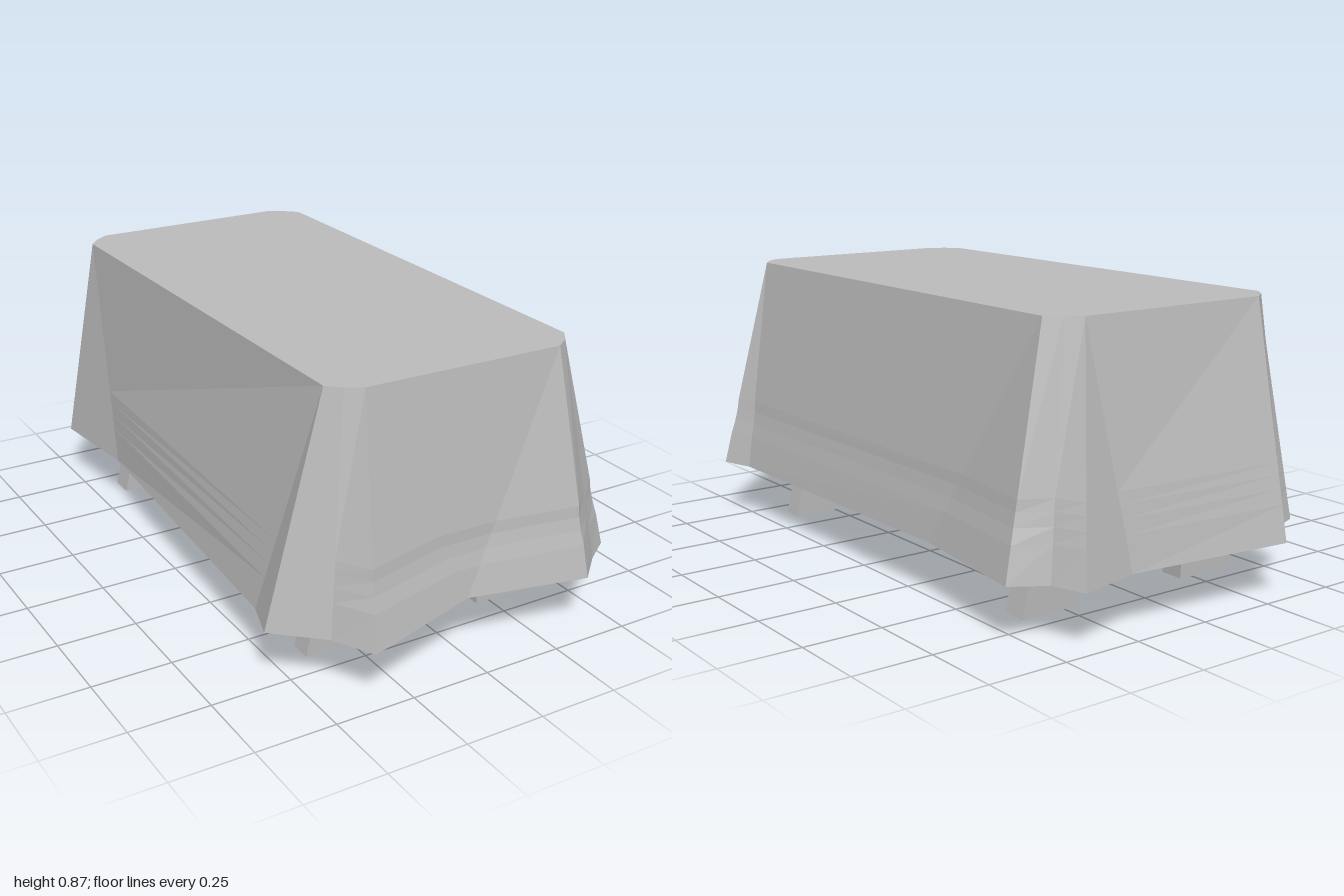
import * as THREE from 'three';

const grey = new THREE.MeshStandardMaterial({ color: 0xbcbcbc });
grey.name = 'cloth grey';

const TOP_Y = 0.873;

// Folds around the cloth: top x, top z, hem x, hem z, hem y
const folds = [
  [-0.33, -0.845, -0.32, -1.0, 0.171],
  [0.32, -0.845, 0.23, -0.95, 0.173],
  [0.32, -0.845, 0.43, -0.995, 0.171],
  [0.37, -0.815, 0.465, -0.89, 0.171],
  [0.41, -0.775, 0.575, -0.835, 0.175],
  [0.41, -0.775, 0.523, -0.4, 0.178],
  [0.41, 0.75, 0.53, 0.7, 0.178],
  [0.41, 0.75, 0.565, 0.81, 0.178],
  [0.375, 0.797, 0.48, 0.87, 0.175],
  [0.33, 0.83, 0.385, 0.96, 0.178],
  [0.33, 0.83, 0, 0.895, 0.19],
  [-0.31, 0.82, 0, 0.895, 0.19],
  [-0.31, 0.82, -0.375, 0.995, 0.174],
  [-0.36, 0.792, -0.44, 0.87, 0.174],
  [-0.4, 0.755, -0.58, 0.745, 0.175],
  [-0.4, 0.755, -0.54, 0.62, 0.176],
  [-0.41, -0.77, -0.47, -0.5, 0.176],
  [-0.41, -0.77, -0.505, -0.845, 0.175],
  [-0.375, -0.812, -0.375, -0.89, 0.171],
];

// Heights of the rings, with a faint groove on the front and left sides
const levels = [[TOP_Y, 1], [0.4, 1], [0.365, 0.996], [0.325, 0.996], [0.28, 1], [0, 1]];

function foldPoint([tx, tz, bx, bz, by], [level, groove]) {
  const y = Math.max(level, by);
  const t = (TOP_Y - y) / (TOP_Y - by);
  const s = bz > 0.88 || bx > 0.5 ? groove : 1;
  return new THREE.Vector3((tx + (bx - tx) * t) * s, y, (tz + (bz - tz) * t) * s);
}

function surface(triangles) {
  const solid = triangles.filter((t) => new THREE.Triangle(...t).getArea() > 1e-7);
  const geometry = new THREE.BufferGeometry().setFromPoints(solid.flat());
  geometry.computeVertexNormals();
  return geometry;
}

function addMesh(group, name, geometry) {
  const mesh = new THREE.Mesh(geometry, grey);
  mesh.name = name;
  group.add(mesh);
  return mesh;
}

export function createModel() {
  const group = new THREE.Group();
  group.name = 'drapedTable';

  const rings = levels.map((level) => folds.map((fold) => foldPoint(fold, level)));
  const count = folds.length;
  const topCentre = new THREE.Vector3(0, TOP_Y, 0);
  const baseCentre = new THREE.Vector3(0, 0.245, 0); // hollow rises to the middle
  const top = [], skirt = [], base = [];

  for (let i = 0; i < count; i++) {
    const j = (i + 1) % count;
    top.push([topCentre, rings[0][j], rings[0][i]]);
    base.push([baseCentre, rings.at(-1)[i], rings.at(-1)[j]]);
    for (let k = 0; k < rings.length - 1; k++) {
      const upper = rings[k], lower = rings[k + 1];
      skirt.push([upper[i], upper[j], lower[j]], [upper[i], lower[j], lower[i]]);
    }
  }
  addMesh(group, 'tableTop', surface(top));
  addMesh(group, 'clothSkirt', surface(skirt));
  addMesh(group, 'underside', surface(base));

  // Four short legs, splayed on the outer side and running up into the hollow
  for (const side of [-1, 1]) {
    const profile = new THREE.Shape([[0.205, 0], [0.402, 0], [0.352, 0.22], [0.205, 0.22]]
      .map(([x, y]) => new THREE.Vector2(x * side, y)));
    for (const [name, z, depth] of [['front', 0.6, 0.07], ['back', -0.685, 0.08]]) {
      const leg = new THREE.ExtrudeGeometry(profile, { depth, bevelEnabled: false });
      addMesh(group, name + (side > 0 ? 'LeftLeg' : 'RightLeg'), leg).position.z = z;
    }
  }
  return group;
}
